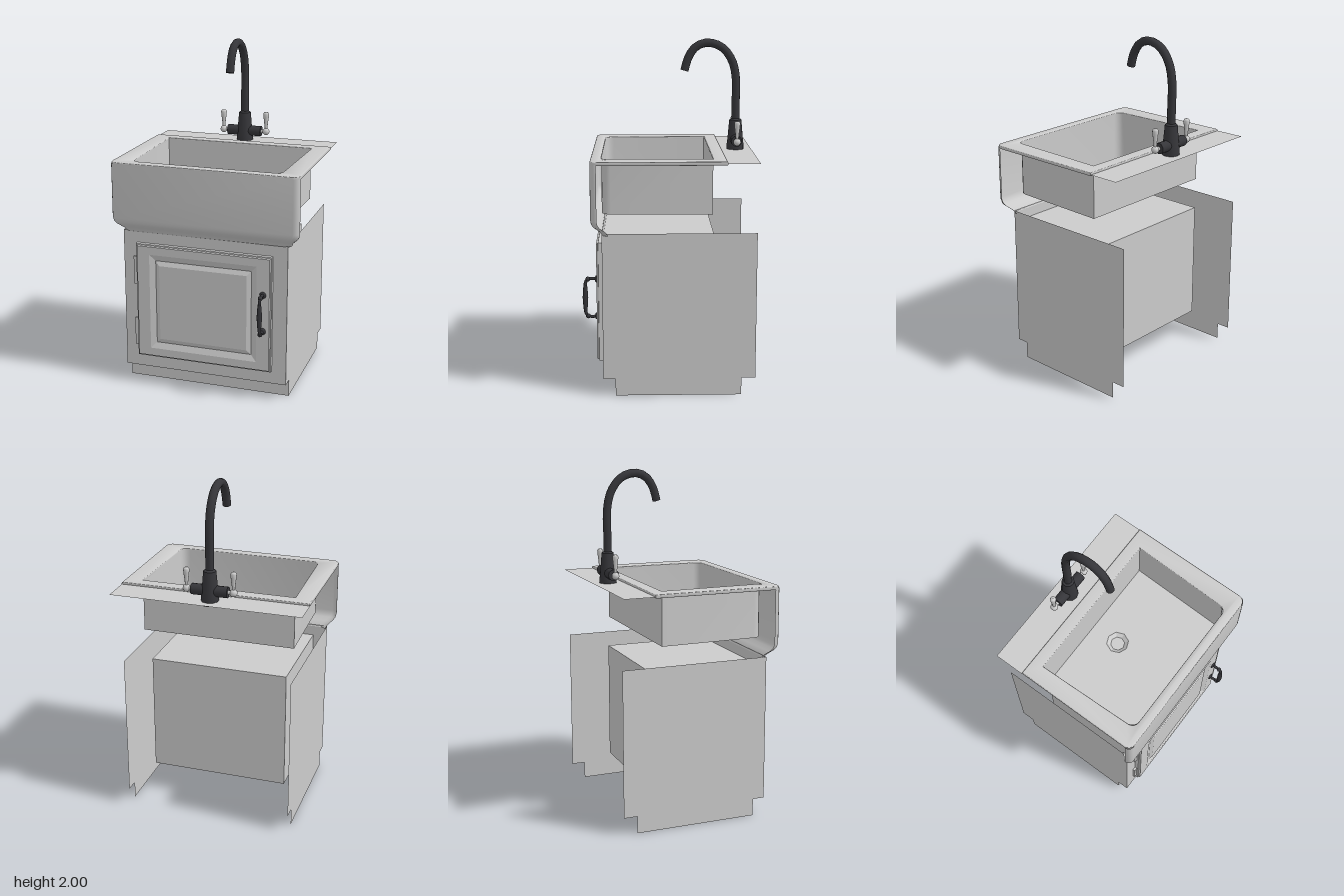
import * as THREE from 'three';
import { toCreasedNormals } from 'three/addons/utils/BufferGeometryUtils.js';

const grey = new THREE.MeshStandardMaterial({ color: 0xcccccc, side: THREE.DoubleSide });
const dark = new THREE.MeshStandardMaterial({ color: 0x36363a, side: THREE.DoubleSide });
const CX = -0.01; // centre line of cabinet and tap

function add(group, name, geometry, material = grey, x = 0, y = 0, z = 0) {
  const mesh = new THREE.Mesh(geometry, material);
  mesh.name = name;
  mesh.position.set(x, y, z);
  group.add(mesh);
  return mesh;
}

// Joins rows of [x, y, z] points with quads
function loft(rows, closed, crease = 0.6) {
  const n = rows[0].length, index = [];
  for (let r = 0; r < rows.length - 1; r++) {
    for (let i = 0; i < (closed ? n : n - 1); i++) {
      const a = r * n + i, b = r * n + (i + 1) % n;
      index.push(a, b, a + n, b, b + n, a + n);
    }
  }
  const g = new THREE.BufferGeometry();
  g.setAttribute('position', new THREE.Float32BufferAttribute(rows.flat(2), 3));
  g.setIndex(index);
  return toCreasedNormals(g, crease);
}

function polygon(points) {
  return new THREE.Shape(points.map(p => new THREE.Vector2(p[0], p[1])));
}

function rect(x0, y0, x1, y1) {
  return [[x0, y0], [x1, y0], [x1, y1], [x0, y1]];
}

// Front edge with two rounded corners, as [x, z] from left to right
function roundedFront(halfW, zFront, zBack, r, backW = halfW) {
  const pts = [[-backW, zBack]];
  for (const side of [-1, 1]) {
    for (let i = 0; i <= 4; i++) {
      const a = (side < 0 ? i : 4 - i) * Math.PI / 8;
      pts.push([side * (halfW - r + r * Math.cos(a)), zFront - r + r * Math.sin(a)]);
    }
  }
  pts.push([backW, zBack]);
  return pts;
}

function buildCabinet() {
  const g = new THREE.Group();
  g.name = 'cabinet';
  const x0 = CX - 0.495, x1 = CX + 0.495;
  // thin side panels notched at the foot; shape x runs along -z
  const side = new THREE.ShapeGeometry(polygon([
    [-0.38, 0.1], [-0.31, 0.1], [-0.31, 0], [0.41, 0], [0.41, 0.1], [0.49, 0.1], [0.49, 0.95], [-0.38, 0.95]
  ]));
  side.rotateY(Math.PI / 2);
  add(g, 'leftSidePanel', side, grey, x1);
  add(g, 'rightSidePanel', side, grey, x0);
  // face frame around the door opening
  const face = polygon(rect(x0, 0.1, x1, 0.95));
  face.holes.push(polygon(rect(-0.42, 0.175, 0.40, 0.88)));
  add(g, 'faceFrame', new THREE.ShapeGeometry(face), grey, 0, 0, 0.38);
  add(g, 'toeKick', loft([[0.1, 0.38], [0.1, 0.31], [0, 0.31]].map(([y, z]) => [[x0, y, z], [x1, y, z]]), false));
  add(g, 'innerCarcass', new THREE.BoxGeometry(0.82, 0.705, 0.645), grey, CX, 0.5275, 0.0575);

  // door: nested rectangles of [x inset, y inset, z]
  const rings = [
    [0, 0, 0.38], [0, 0, 0.404], [0.006, 0.006, 0.406], [0.01, 0.01, 0.416], [0.085, 0.058, 0.416],
    [0.12, 0.095, 0.402], [0.145, 0.122, 0.414], [0.41, 0.35, 0.414]
  ];
  add(g, 'door', loft(rings.map(([ix, iy, z]) =>
    rect(-0.42 + ix, 0.18 + iy, 0.40 - ix, 0.88 - iy).map(p => [...p, z])), true, 0.1));
  for (const y of [0.325, 0.71]) {
    add(g, 'hinge', new THREE.BoxGeometry(0.022, 0.17, 0.015), grey, -0.43, y, 0.387);
  }

  // pull handle: bowed bar, thick in the middle, with round feet
  const path = new THREE.CatmullRomCurve3([
    [0.655, 0.41], [0.658, 0.45], [0.648, 0.475], [0.61, 0.482], [0.545, 0.485],
    [0.48, 0.482], [0.442, 0.475], [0.432, 0.45], [0.435, 0.41]
  ].map(([y, z]) => new THREE.Vector3(0.352, y, z)));
  add(g, 'doorHandle', new THREE.TubeGeometry(path, 28, 0.009, 8), dark);
  const grip = new THREE.LatheGeometry([[0.009, -0.085], [0.013, -0.05], [0.016, 0], [0.013, 0.05], [0.009, 0.085]]
    .map(p => new THREE.Vector2(...p)), 8);
  add(g, 'handleGrip', grip, dark, 0.352, 0.545, 0.482);
  for (const y of [0.435, 0.655]) {
    add(g, 'handleFoot', new THREE.SphereGeometry(0.02, 10, 8), dark, 0.352, y, 0.418).scale.z = 0.5;
    add(g, 'handleKnuckle', new THREE.SphereGeometry(0.014, 10, 8), dark, 0.352, y, 0.467);
  }
  return g;
}

function buildSink() {
  const g = new THREE.Group();
  g.name = 'sink';
  const opening = roundedFront(0.44, 0.38, -0.24, 0.05, 0.455);
  // rim ring with softened edges
  const b = 0.008;
  const rim = polygon(roundedFront(0.557 - b, 0.44 - b, -0.315 + b, 0.035).map(([x, z]) => [x, -z]));
  rim.holes.push(polygon(roundedFront(0.44 + b, 0.38 + b, -0.24 - b, 0.05, 0.455 + b).map(([x, z]) => [x, -z])));
  const rimGeo = new THREE.ExtrudeGeometry(rim, { depth: 0.006, bevelSize: b, bevelThickness: b, bevelSegments: 3 });
  rimGeo.rotateX(-Math.PI / 2);
  add(g, 'rim', toCreasedNormals(rimGeo, 0.8), grey, 0, 1.351, 0);

  // apron: [y, front z, half width]
  const levels = [
    [1.352, 0.44, 0.557], [1.035, 0.44, 0.557], [1.01, 0.435, 0.552], [0.995, 0.425, 0.543],
    [0.975, 0.405, 0.522], [0.96, 0.39, 0.508], [0.94, 0.378, 0.498]
  ];
  add(g, 'apron', loft(levels.map(([y, z, w]) =>
    roundedFront(w, z, z - 0.036, 0.034).map(p => [p[0], y, p[1]])), false, 0.8));

  // bowl walls and floor
  add(g, 'bowlWalls', loft([1.358, 1.052].map(y => opening.map(p => [p[0], y, p[1]])), true, 0.5));
  const floor = polygon(opening.map(([x, z]) => [x, -z]));
  const drainHole = [];
  for (let i = 0; i < 8; i++) {
    const a = i * Math.PI / 4;
    drainHole.push([0.066 * Math.sin(a), 0.065 + 0.066 * Math.cos(a)]);
  }
  floor.holes.push(polygon(drainHole));
  add(g, 'bowlFloor', new THREE.ShapeGeometry(floor).rotateX(-Math.PI / 2), grey, 0, 1.052, 0);
  const drain = new THREE.LatheGeometry([[0, 1.032], [0.042, 1.032], [0.066, 1.052]]
    .map(p => new THREE.Vector2(...p)), 8);
  add(g, 'drain', toCreasedNormals(drain, 0.1), grey, 0, 0, -0.065);

  // flat deck behind the bowl
  add(g, 'rearDeck', new THREE.PlaneGeometry(1.115, 0.18).rotateX(-Math.PI / 2), grey, -0.002, 1.352, -0.404);
  return g;
}

function buildTap() {
  const g = new THREE.Group();
  g.name = 'tap';
  g.position.set(CX, 0, -0.4);
  const base = new THREE.LatheGeometry([[0.036, 1.33], [0.051, 1.33], [0.05, 1.38], [0.046, 1.41], [0.036, 1.525], [0.022, 1.535]]
    .map(p => new THREE.Vector2(...p)), 10);
  add(g, 'tapBase', toCreasedNormals(base, 0.7), dark);
  // swan neck
  const neck = new THREE.CatmullRomCurve3([
    [0, 1.5], [0, 1.62], [0, 1.77], [0.025, 1.875], [0.085, 1.95], [0.165, 1.976],
    [0.235, 1.953], [0.28, 1.89], [0.302, 1.815]
  ].map(([z, y]) => new THREE.Vector3(0, y, z)));
  add(g, 'spout', new THREE.TubeGeometry(neck, 22, 0.024, 10), dark);
  const tip = neck.getTangent(1);
  const cap = add(g, 'spoutTip', new THREE.CircleGeometry(0.024, 10), dark, 0, 1.815, 0.302);
  cap.quaternion.setFromUnitVectors(new THREE.Vector3(0, 0, 1), tip);

  add(g, 'valveBody', new THREE.CylinderGeometry(0.032, 0.032, 0.212, 12).rotateZ(Math.PI / 2), dark, 0, 1.41, 0);
  const lever = new THREE.LatheGeometry([[0.008, 1.42], [0.01, 1.45], [0.016, 1.5], [0.018, 1.52], [0.013, 1.53], [0, 1.532]]
    .map(p => new THREE.Vector2(...p)), 10);
  for (const s of [-1, 1]) {
    add(g, 'leverStem', new THREE.CylinderGeometry(0.012, 0.012, 0.04, 10).rotateZ(Math.PI / 2), grey, s * 0.118, 1.41, 0);
    add(g, 'leverBall', new THREE.SphereGeometry(0.022, 12, 8), grey, s * 0.137, 1.41, 0);
    add(g, 'lever', lever, grey, s * 0.137, 0, 0);
  }
  return g;
}

export function createModel() {
  const model = new THREE.Group();
  model.name = 'sinkCabinet';
  model.add(buildCabinet(), buildSink(), buildTap());
  return model;
}
